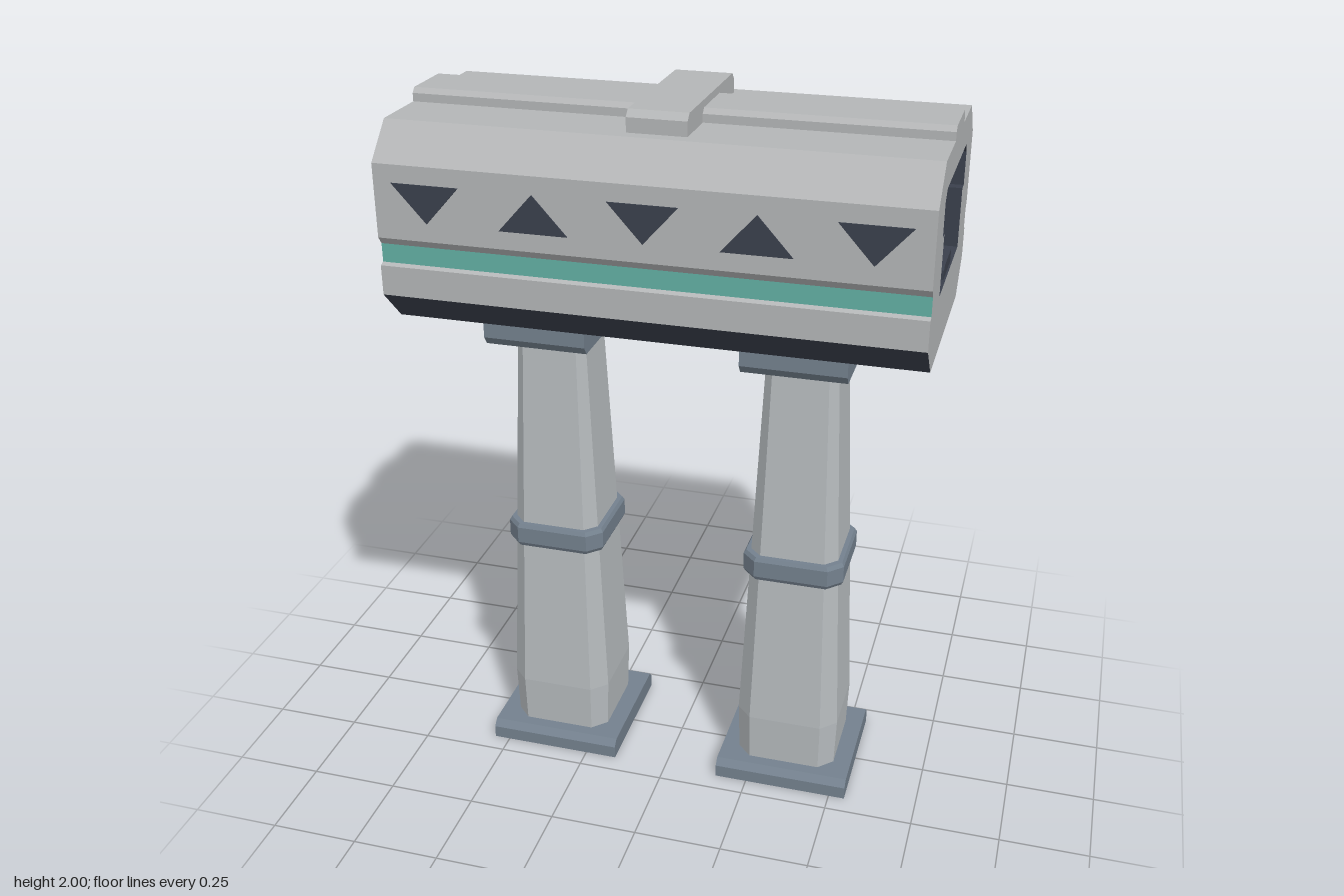
import * as THREE from 'three';

const mat = (name, color) => new THREE.MeshStandardMaterial({ name, color });

// Flat-faced geometry from quads, each given by four corners
function quadGeometry(quads) {
  const pos = [];
  for (const [a, b, c, d] of quads) pos.push(...a, ...b, ...c, ...a, ...c, ...d);
  const g = new THREE.BufferGeometry();
  g.setAttribute('position', new THREE.Float32BufferAttribute(pos, 3));
  g.computeVertexNormals();
  return g;
}

// Mirror a right-hand half profile [z, y], bottom to top, into a closed outline
const mirrored = half => [...half, ...half.map(([u, v]) => [-u, v]).reverse()];
const toShape = pts => new THREE.Shape(pts.map(p => new THREE.Vector2(...p)));

// Solid with a symmetric z-y profile running along x
function prism(half, length) {
  const g = new THREE.ExtrudeGeometry(toShape(mirrored(half)), { depth: length, bevelEnabled: false });
  return g.translate(0, 0, -length / 2).rotateY(Math.PI / 2);
}

// Open shell along x, one strip per profile edge; materialOf picks its material index
function shell(pts, length, materialOf) {
  const h = length / 2;
  const g = quadGeometry(pts.map((a, i) => {
    const b = pts[(i + 1) % pts.length];
    return [[...a, -h], [...b, -h], [...b, h], [...a, h]];
  }));
  pts.forEach((_, i) => g.addGroup(i * 6, 6, materialOf(i)));
  return g.rotateY(Math.PI / 2);
}

// Loft through chamfered squares [y, half width, half width of the flat side]
function loft(rings) {
  const loops = rings.map(([y, h, f]) => [
    [h, y, f], [h, y, -f], [f, y, -h], [-f, y, -h],
    [-h, y, -f], [-h, y, f], [-f, y, h], [f, y, h],
  ]);
  const quads = [];
  for (let r = 0; r < loops.length - 1; r++) {
    for (let i = 0; i < 8; i++) {
      const j = (i + 1) % 8;
      quads.push([loops[r][i], loops[r][j], loops[r + 1][j], loops[r + 1][i]]);
    }
  }
  const t = loops[loops.length - 1], b = loops[0];
  for (const i of [1, 3, 5]) {
    quads.push([t[0], t[i], t[i + 1], t[(i + 2) % 8]]);
    quads.push([b[0], b[(i + 2) % 8], b[i + 1], b[i]]);
  }
  return quadGeometry(quads);
}

export function createModel() {
  const model = new THREE.Group();
  model.name = 'elevatedTunnel';
  const grey = mat('bodyGrey', 0xb4b6b7);
  const concrete = mat('pillarGrey', 0xb6bbbe);
  const steel = mat('steelBlue', 0x74818e);
  const dark = mat('darkSlate', 0x3a404c);
  const teal = mat('tealStripe', 0x62b0a4);

  const add = (parent, name, geometry, material) => {
    const m = new THREE.Mesh(geometry, material);
    m.name = name;
    parent.add(m);
    return m;
  };

  // Tunnel body: outer skin, dark lining and two end faces
  const L = 1.41;
  const outer = mirrored([
    [0.265, 1.415], [0.355, 1.505], [0.355, 1.585], [0.34, 1.59],
    [0.34, 1.64], [0.355, 1.66], [0.355, 1.855], [0.265, 1.945],
  ]);
  const inner = mirrored([
    [0.19, 1.585], [0.19, 1.745], [0.22, 1.745], [0.22, 1.835], [0.195, 1.86],
  ]);
  const skinColour = { 0: 1, 14: 1, 15: 1, 3: 2, 11: 2 };
  add(model, 'tunnelSkin', shell(outer, L, i => skinColour[i] ?? 0), [grey, dark, teal]);
  add(model, 'tunnelLining', shell([...inner].reverse(), L, () => 0), [dark]);
  for (const s of [1, -1]) {
    const face = toShape(outer);
    face.holes.push(new THREE.Path(inner.map(p => new THREE.Vector2(...p))));
    const end = add(model, 'tunnelEnd', new THREE.ShapeGeometry(face), grey);
    end.rotation.y = s * Math.PI / 2;
    end.position.x = s * L / 2;
  }

  // Guide rail on the tunnel floor
  add(model, 'guideRail', prism([[0.072, 1.583], [0.072, 1.61], [0.062, 1.62]], L - 0.01), dark);

  // Roof ridge and crossbeam
  add(model, 'roofRidge', prism([[0.09, 1.94], [0.09, 1.967], [0.077, 1.98]], L), grey);
  add(model, 'roofCrossbeam', prism([[0.23, 1.942], [0.23, 1.983], [0.212, 2]], 0.156), grey);

  // Triangular windows, alternately pointing down and up, on both sides
  for (const s of [1, -1]) {
    for (let i = 0; i < 5; i++) {
      const d = i % 2 ? 1 : -1;
      const tri = toShape([[-0.09, -0.05 * d], [0.09, -0.05 * d], [0, 0.05 * d]]);
      const g = new THREE.ExtrudeGeometry(tri, { depth: 0.004, bevelEnabled: false });
      const pane = add(model, 'window', g, dark);
      pane.position.set((i - 2) * 0.283, 1.758, s * 0.354);
      if (s < 0) pane.rotation.y = Math.PI;
    }
  }

  // Two supports: foot, tapered column, collar and capital
  for (const s of [-1, 1]) {
    const support = new THREE.Group();
    support.name = s > 0 ? 'leftSupport' : 'rightSupport';
    support.position.x = s * 0.352;
    model.add(support);
    add(support, 'foot', prism([[0.194, 0], [0.194, 0.037], [0.176, 0.056]], 0.388), steel);
    add(support, 'column', loft([[0.05, 0.143, 0.103], [0.2, 0.148, 0.105], [1.33, 0.098, 0.076]]), concrete);
    add(support, 'collar', loft([
      [0.67, 0.137, 0.1], [0.682, 0.143, 0.104], [0.73, 0.143, 0.104], [0.741, 0.137, 0.1],
    ]), steel);
    add(support, 'capital', prism([[0.194, 1.327], [0.21, 1.35], [0.21, 1.405], [0.203, 1.416]], 0.284), steel);
  }
  return model;
}
